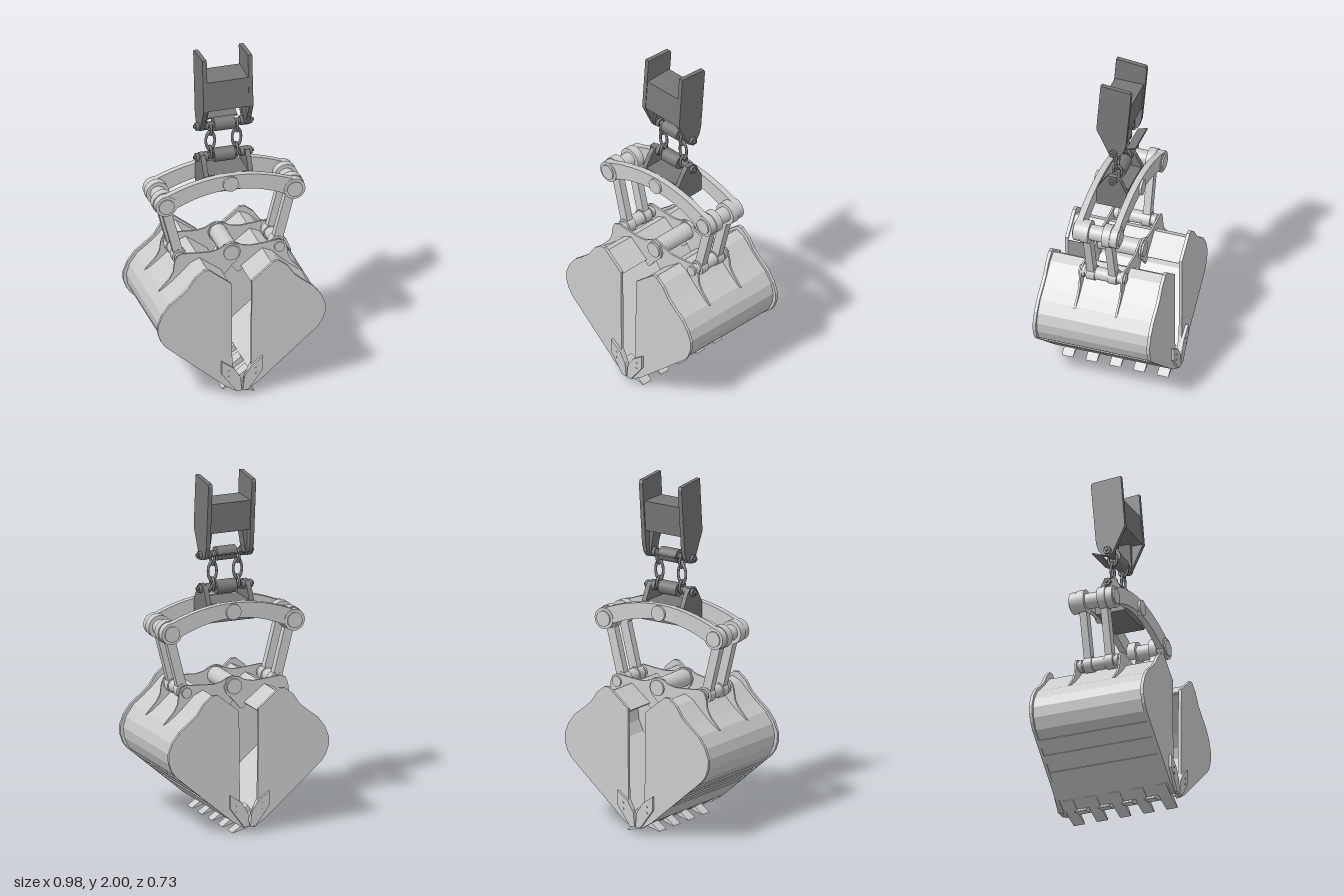
import * as THREE from 'three';

const steel = new THREE.MeshStandardMaterial({ color: 0xcccccc, side: THREE.DoubleSide });
const dark = new THREE.MeshStandardMaterial({ color: 0x777777, side: THREE.DoubleSide });

function add(parent, name, geo, mat = steel) {
  const m = new THREE.Mesh(geo, mat);
  m.name = name;
  parent.add(m);
  return m;
}

// Plate with an outline in x,y, centred on z
function plateXY(pts, z, depth) {
  const shape = new THREE.Shape(pts.map(p => new THREE.Vector2(p[0], p[1])));
  return new THREE.ExtrudeGeometry(shape, { depth, bevelEnabled: false }).translate(0, 0, z - depth / 2);
}

// Plate with an outline in z,y, centred on x
function plateZY(pts, x, depth) {
  return plateXY(pts, 0, depth).rotateY(-Math.PI / 2).translate(x, 0, 0);
}

const flip = (pts, s) => pts.map(([x, y]) => [x * s, y]);
const cylZ = (r, len, x, y, z, n = 28) =>
  new THREE.CylinderGeometry(r, r, len, n).rotateX(Math.PI / 2).translate(x, y, z);
const cylX = (r, len, x, y, z, n = 24) =>
  new THREE.CylinderGeometry(r, r, len, n).rotateZ(Math.PI / 2).translate(x, y, z);

// Boom end: two cheek plates joined by a leaning box
function boomHead() {
  const g = new THREE.Group();
  g.name = 'boomHead';
  const cheek = [[0.065, 2], [-0.108, 1.985], [-0.116, 1.97], [-0.085, 1.61], [-0.07, 1.56],
    [-0.045, 1.53], [-0.01, 1.52], [0.015, 1.535], [0.09, 1.69]];
  const lean = new THREE.Matrix4().set(1, 0, 0, 0, 0, 1, 0, 0, 0, -0.085, 1, 0.145, 0, 0, 0, 1);
  const box = new THREE.BoxGeometry(0.25, 0.175, 0.172).translate(0, 1.775, 0).applyMatrix4(lean);
  add(g, 'crossBox', box, dark);
  for (const s of [-1, 1]) {
    add(g, 'cheekPlate', plateZY(cheek, s * 0.133, 0.025), dark);
    add(g, 'cheekGusset', plateXY(flip([[0.125, 1.7], [0.09, 1.69], [0.113, 1.55], [0.125, 1.55]], s), -0.012, 0.07), dark);
  }
  const tab = add(g, 'pinLockTab', new THREE.BoxGeometry(0.2, 0.008, 0.06), dark);
  tab.position.set(0, 1.565, -0.1);
  tab.rotation.x = 0.35;
  return g;
}

// Pin along x with a roller, collars and hexagonal ends
function rollerPin(y, z) {
  const g = new THREE.Group();
  g.name = 'rollerPin';
  add(g, 'pin', cylX(0.018, 0.32, 0, y, z), dark);
  add(g, 'roller', cylX(0.04, 0.12, 0, y, z), dark);
  for (const s of [-1, 1]) {
    add(g, 'collar', cylX(0.027, 0.022, s * 0.105, y, z), dark);
    add(g, 'pinNut', cylX(0.024, 0.018, s * 0.155, y, z, 6), dark);
    add(g, 'pinTip', cylX(0.01, 0.02, s * 0.165, y, z), dark);
  }
  return g;
}

function chains() {
  const g = new THREE.Group();
  g.name = 'chains';
  for (const s of [-1, 1]) {
    // y centre, height stretch, turned edge-on
    for (const [y, sy, side] of [[1.525, 1.35, true], [1.45, 2, false], [1.375, 1.35, true]]) {
      const geo = new THREE.TorusGeometry(0.026, 0.0075, 10, 28).scale(1, sy, 1);
      if (side) geo.rotateY(Math.PI / 2);
      add(g, 'chainLink', geo.translate(s * 0.077, y, -0.012), dark);
    }
  }
  return g;
}

// Bracket hanging from the chain and holding the yoke
function hanger() {
  const g = new THREE.Group();
  g.name = 'hanger';
  const ear = [[0.022, 1.378], [-0.028, 1.378], [-0.05, 1.355], [-0.088, 1.28], [-0.088, 1.17],
    [0.088, 1.17], [0.088, 1.28], [0.045, 1.35]];
  for (const s of [-1, 1]) add(g, 'hangerEar', plateZY(ear, s * 0.13, 0.028), dark);
  add(g, 'hangerBlock', new THREE.BoxGeometry(0.25, 0.11, 0.172).translate(0, 1.225, 0), dark);
  return g;
}

// Pair of curved beams with pivots at the middle and both ends
function yoke() {
  const g = new THREE.Group();
  g.name = 'yoke';
  const upper = [], lower = [];
  for (let i = 0; i <= 28; i++) {
    const t = i / 14 - 1;
    upper.push([t * 0.375, 1.285 - 0.08 * t * t]);
    lower.unshift([t * 0.375, 1.197 - 0.103 * t * t]);
  }
  for (const s of [-1, 1]) {
    add(g, 'yokeBeam', plateXY([...upper, ...lower], s * 0.109, 0.036));
    add(g, 'middleBoss', cylZ(0.045, 0.03, 0, 1.235, s * 0.125));
    for (const e of [-1, 1]) {
      add(g, 'beamEnd', cylZ(0.062, 0.042, e * 0.375, 1.145, s * 0.109));
      add(g, 'pivotCap', cylZ(0.045, 0.03, e * 0.375, 1.145, s * 0.123));
    }
  }
  return g;
}

// Pair of link bars from a yoke end to a shell
function links(s) {
  const g = new THREE.Group();
  g.name = 'links';
  const [ax, ay, bx, by] = [s * 0.375, 1.145, s * 0.285, 0.795];
  add(g, 'upperPin', cylZ(0.045, 0.2, ax, ay, 0));
  add(g, 'lowerPin', cylZ(0.03, 0.275, bx, by, 0));
  add(g, 'lowerSleeve', cylZ(0.037, 0.1, bx, by, 0));
  for (const e of [-1, 1]) {
    const bar = add(g, 'linkBar', new THREE.BoxGeometry(0.054, Math.hypot(ax - bx, ay - by), 0.042));
    bar.position.set((ax + bx) / 2, (ay + by) / 2, e * 0.064);
    bar.rotation.z = -Math.atan2(ax - bx, ay - by);
    add(g, 'upperEye', cylZ(0.067, 0.047, ax, ay, e * 0.064));
    add(g, 'lowerEye', cylZ(0.044, 0.05, bx, by, e * 0.064));
    add(g, 'lowerCollar', cylZ(0.036, 0.018, bx, by, e * 0.11));
  }
  return g;
}

// One half of the grab, on the side given by s
function shell(s) {
  const g = new THREE.Group();
  g.name = s > 0 ? 'leftShell' : 'rightShell';

  // Bent skin: outer line plus the same line pulled toward the middle
  const outer = [[0.06, 0.705], [0.185, 0.8], [0.24, 0.775], [0.3, 0.715], [0.345, 0.675], [0.41, 0.625],
    [0.455, 0.56], [0.472, 0.5], [0.465, 0.44], [0.435, 0.375], [0.1, 0.088], [0.025, 0.045]];
  const inner = outer.map(([x, y]) => [0.25 + (x - 0.25) * 0.95, 0.43 + (y - 0.43) * 0.965]).reverse();
  add(g, 'shellSkin', plateXY(flip([...outer, ...inner], s), 0, 0.66));

  // Wear strips across the sloping floor
  for (const [t, w] of [[0.2, 0.05], [0.42, 0.05], [0.8, 0.17]]) {
    const strip = add(g, 'wearStrip', new THREE.BoxGeometry(w, 0.012, 0.66));
    strip.position.set(s * (0.435 - 0.335 * t), 0.375 - 0.287 * t, 0);
    strip.rotation.z = s * Math.atan2(0.287, 0.335);
  }

  const side = [[0.06, 0.72], [0.19, 0.825], [0.22, 0.825], [0.27, 0.785], [0.31, 0.725], [0.355, 0.685],
    [0.42, 0.635], [0.465, 0.575], [0.49, 0.51], [0.488, 0.46], [0.47, 0.41], [0.445, 0.375],
    [0.1, 0.08], [0.03, 0.035], [0.005, 0.055], [0.015, 0.12], [0.055, 0.2]];
  const cutter = [[0.12, 0.24], [0.12, 0.16], [0.035, 0.045], [0.002, 0.045], [0.012, 0.13], [0.05, 0.19]];
  // Rib with hinge eye, link lug and pointed tail on the skin
  const rib = [[0, 0.863], [0.035, 0.855], [0.07, 0.835], [0.12, 0.825], [0.2, 0.83], [0.285, 0.838],
    [0.315, 0.825], [0.33, 0.79], [0.338, 0.73], [0.36, 0.69], [0.425, 0.62], [0.3, 0.69], [0.18, 0.77],
    [0.075, 0.69], [0.05, 0.67], [0.035, 0.675], [0, 0.72], [-0.045, 0.765], [-0.058, 0.805], [-0.04, 0.848]];
  const ribZ = s > 0 ? 0.122 : 0.134;
  for (const e of [-1, 1]) {
    add(g, 'sidePlate', plateXY(flip(side, s), e * 0.338, 0.018));
    add(g, 'sideCutter', plateXY(flip(cutter, s), e * 0.355, 0.016));
    add(g, 'hingeRib', plateXY(flip(rib, s), e * ribZ, 0.011));
    for (const y of [0.14, 0.175]) add(g, 'cutterBolt', cylZ(0.006, 0.004, s * 0.08, y, e * 0.364, 8));
  }

  // Teeth of the two halves interleave
  const tooth = [[0.07, 0.115], [0.09, 0.08], [0.005, 0.028], [-0.085, 0.004], [-0.08, 0.012], [-0.015, 0.055]];
  const count = s > 0 ? 4 : 5;
  for (let i = 0; i < count; i++) {
    add(g, 'tooth', plateXY(flip(tooth, s), (i - (count - 1) / 2) * 0.141, 0.067));
  }
  return g;
}

export function createModel() {
  const model = new THREE.Group();
  model.name = 'clamshellGrab';
  model.add(boomHead(), rollerPin(1.55, -0.012), chains(), rollerPin(1.355, -0.012), hanger(), yoke());
  for (const s of [-1, 1]) model.add(links(s), shell(s));
  // Main hinge between the halves
  add(model, 'hingeTube', cylZ(0.05, 0.25, 0, 0.805, 0));
  add(model, 'hingePin', cylZ(0.045, 0.3, 0, 0.805, 0));
  return model;
}
